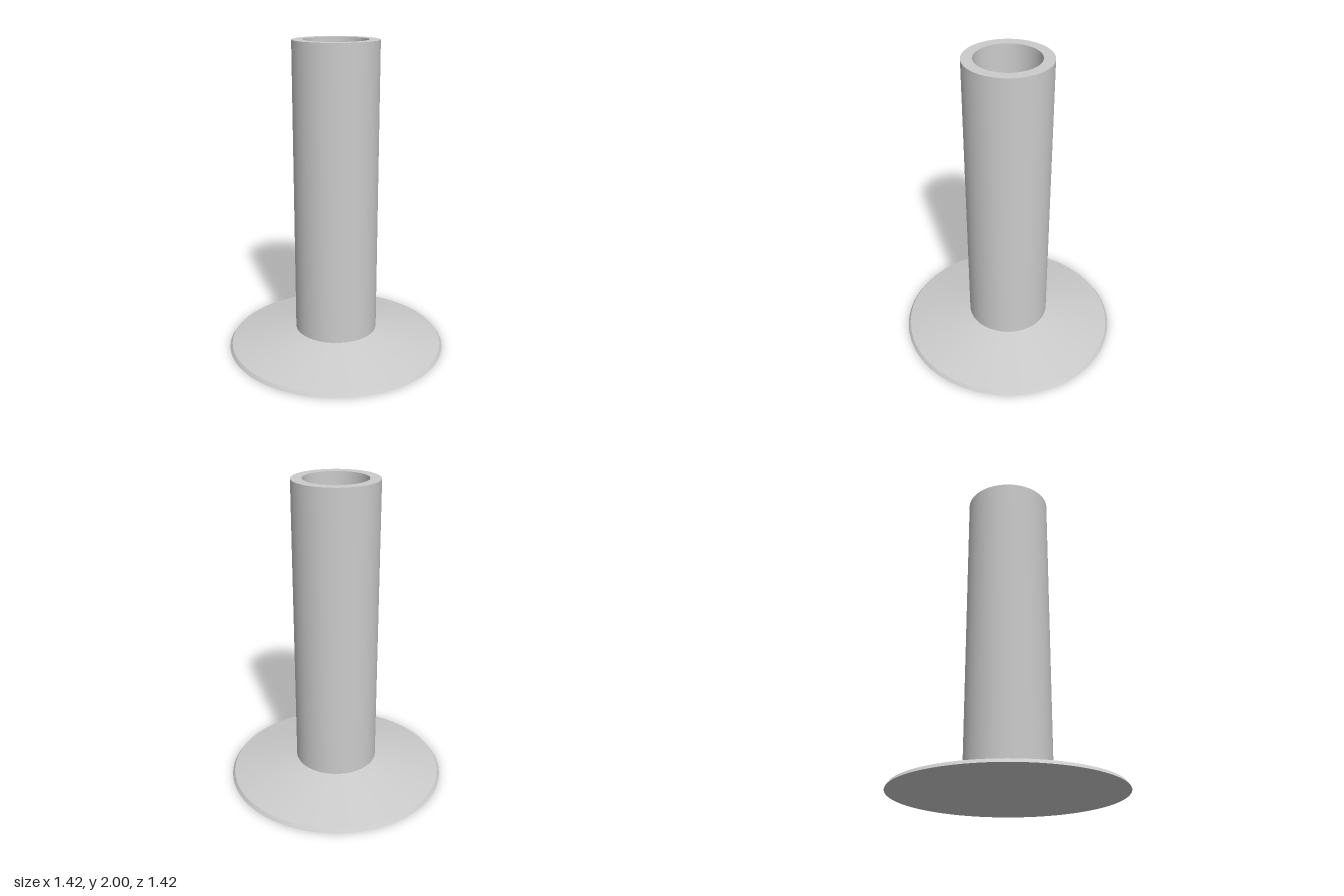
import * as THREE from 'three';
import { toCreasedNormals } from 'three/addons/utils/BufferGeometryUtils.js';

const material = new THREE.MeshStandardMaterial({ color: 0xcccccc });

// Revolve a profile of [radius, height] points, keeping its corners sharp
function turned(name, profile) {
  const points = profile.map(([r, y]) => new THREE.Vector2(r, y));
  const geometry = toCreasedNormals(new THREE.LatheGeometry(points, 96), 0.15);
  const mesh = new THREE.Mesh(geometry, material);
  mesh.name = name;
  return mesh;
}

export function createModel() {
  const group = new THREE.Group();
  group.name = 'flangedTube';

  const outer = 0.268, bore = 0.2, baseTop = 0.117;

  // Shallow conical foot with a bevelled rim; its flat top closes the bore
  group.add(turned('base', [
    [0, 0], [0.712, 0], [0.697, 0.022], [outer, baseTop], [0, baseTop],
  ]));

  // Hollow upright tube, open at the top
  group.add(turned('tube', [
    [outer, baseTop], [outer, 2], [bore, 2], [bore, baseTop],
  ]));

  return group;
}
